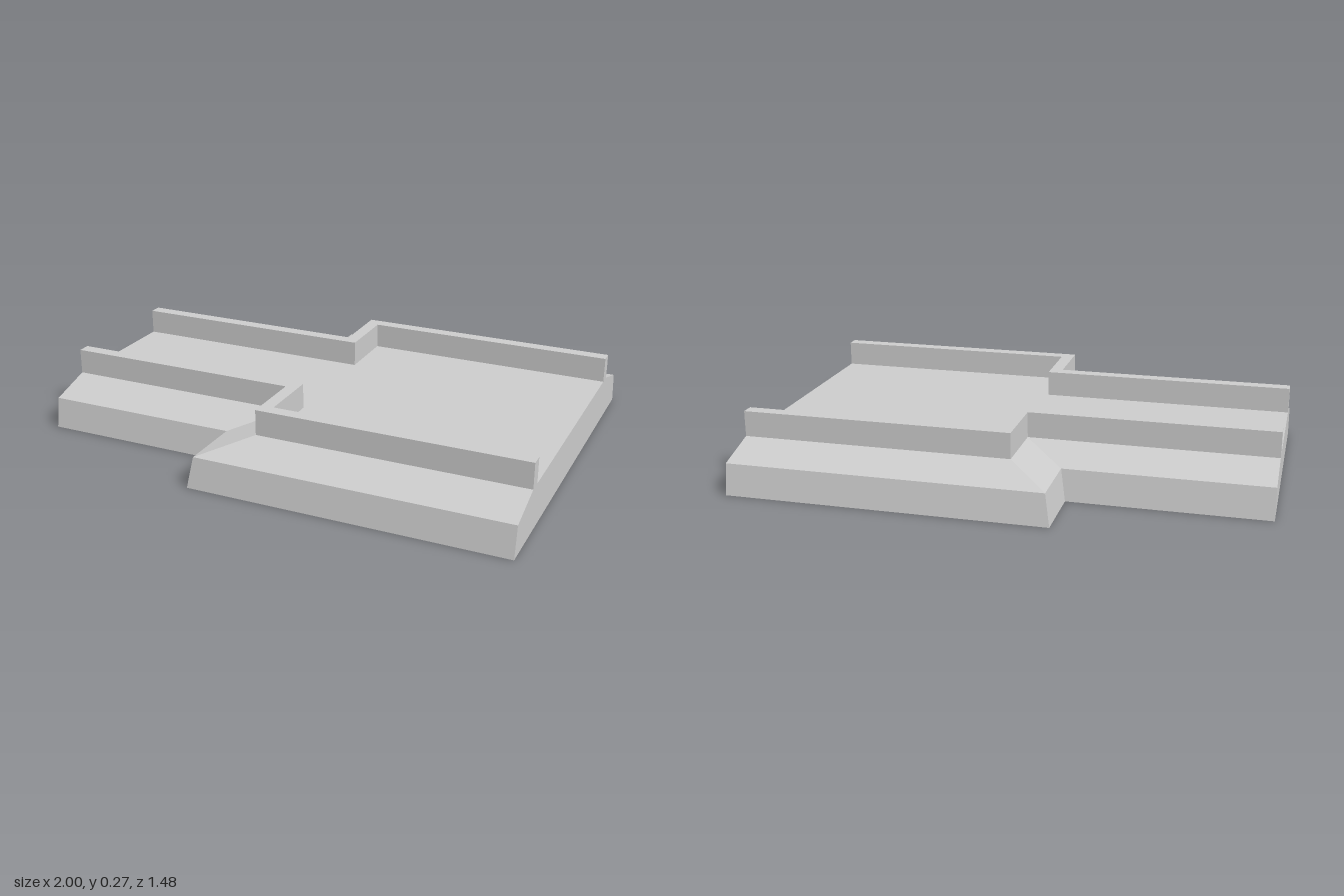
import * as THREE from 'three';

const DECK_Y = 0.17;
const WIDE = 0.5;    // half width of the deck for x > 0
const NARROW = 0.25; // half width of the deck for x < 0

// Edge cross-sections: [distance outwards from the deck edge, height]
const KERB = [[0, DECK_Y], [0, 0.27], [0.05, 0.27], [0.05, DECK_Y]];
const BANK = [[0.05, DECK_Y], [0.22, 0.12], [0.24, 0]];

// Stepped plan line of the deck edge, moved outwards by d with mitred corners
const edgeLine = (d) => [[1, WIDE + d], [-d, WIDE + d], [-d, NARROW + d], [-1, NARROW + d]];

const material = new THREE.MeshStandardMaterial({
  color: 0xcccccc, flatShading: true, side: THREE.DoubleSide,
});

function addMesh(group, name, geometry) {
  const mesh = new THREE.Mesh(geometry, material);
  mesh.name = name;
  group.add(mesh);
  return mesh;
}

// Sweep a cross-section along the stepped edge; side is +1 (front) or -1 (back)
function sweepEdge(section, side) {
  const rows = section.map(([d, y]) => edgeLine(d).map(([x, z]) => [x, y, z * side]));
  const positions = [];
  for (let j = 0; j < rows.length - 1; j++) {
    for (let i = 0; i < rows[j].length - 1; i++) {
      const a = rows[j][i], b = rows[j][i + 1], c = rows[j + 1][i + 1], d = rows[j + 1][i];
      const corners = side > 0 ? [a, b, c, a, c, d] : [a, c, b, a, d, c];
      corners.forEach((p) => positions.push(...p));
    }
  }
  const geometry = new THREE.BufferGeometry();
  geometry.setAttribute('position', new THREE.Float32BufferAttribute(positions, 3));
  geometry.computeVertexNormals();
  return geometry;
}

// Flat shape made of a half outline and its mirror image
function mirroredShape(half, mirror) {
  const points = [...half, ...half.map(mirror).reverse()];
  return new THREE.ShapeGeometry(new THREE.Shape(points.map(([x, y]) => new THREE.Vector2(x, y))));
}

export function createModel() {
  const model = new THREE.Group();
  model.name = 'steppedCauseway';

  // Deck: wide at one end, narrow at the other
  const deck = mirroredShape(edgeLine(0), ([x, z]) => [x, -z]);
  addMesh(model, 'deck', deck.rotateX(-Math.PI / 2)).position.y = DECK_Y;

  // Hollow kerbs and sloping banks along both edges, open underneath
  for (const [side, label] of [[1, 'front'], [-1, 'back']]) {
    addMesh(model, label + 'Kerb', sweepEdge(KERB, side));
    addMesh(model, label + 'Bank', sweepEdge(BANK, side));
  }

  // End walls close the cross-section at both ends
  const section = [...KERB, ...BANK.slice(1)];
  for (const [end, halfWidth, label] of [[1, WIDE, 'wide'], [-1, NARROW, 'narrow']]) {
    const half = section.map(([d, y]) => [halfWidth + d, y]);
    const wall = mirroredShape(half, ([z, y]) => [-z, y]);
    addMesh(model, label + 'EndWall', wall.rotateY(end * Math.PI / 2)).position.x = end;
  }

  return model;
}
